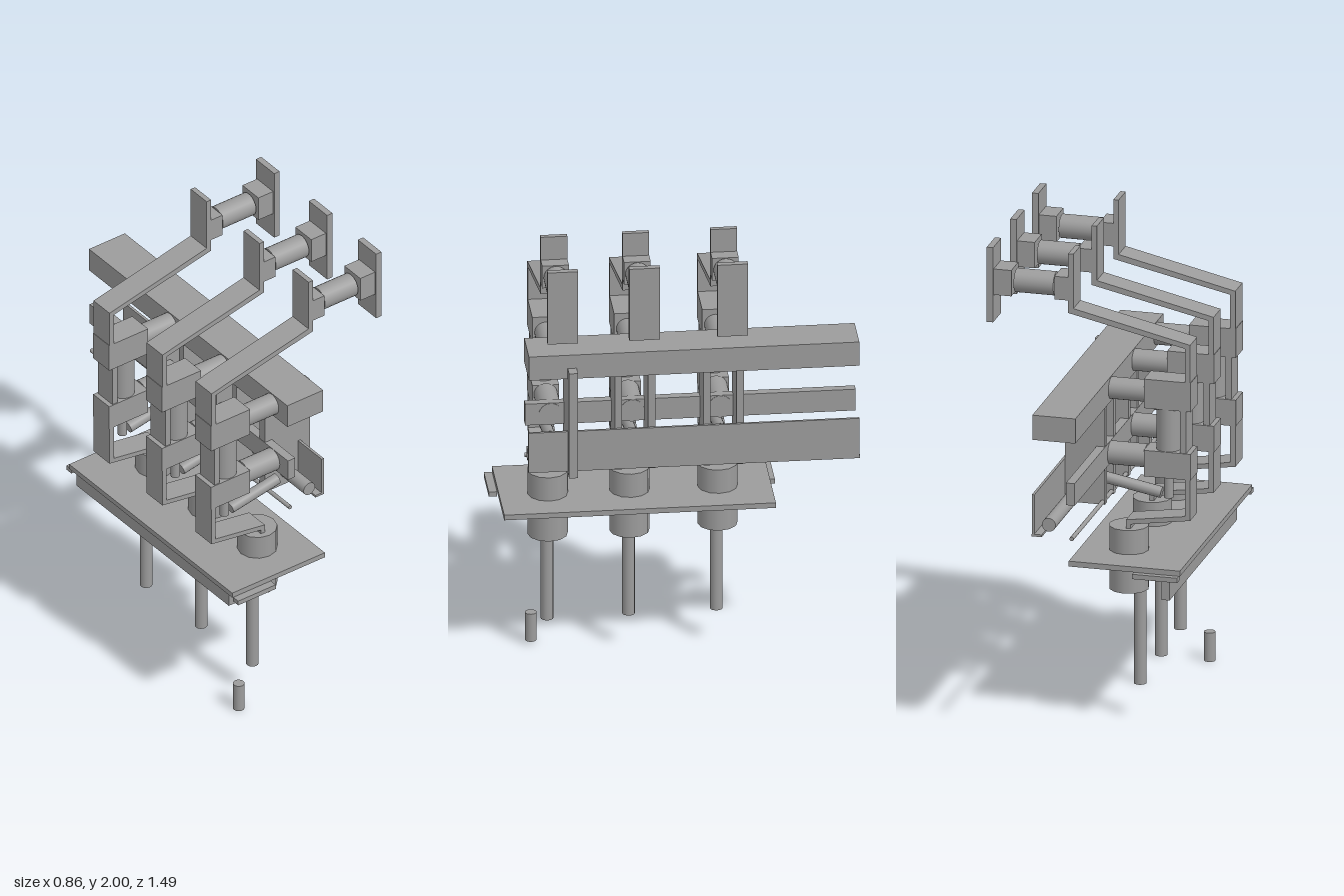
import * as THREE from 'three';

const mat = new THREE.MeshStandardMaterial({ color: 0x9c9c9c });

function add(parent, name, geometry) {
  const mesh = new THREE.Mesh(geometry, mat);
  mesh.name = name;
  parent.add(mesh);
  return mesh;
}

// Box given by its extents on each axis
function box(parent, name, x0, x1, y0, y1, z0, z1) {
  const m = add(parent, name, new THREE.BoxGeometry(x1 - x0, y1 - y0, z1 - z0));
  m.position.set((x0 + x1) / 2, (y0 + y1) / 2, (z0 + z1) / 2);
}

// Cylinder running between two points
function rod(parent, name, a, b, r, sides = 24) {
  const p = new THREE.Vector3(...a), q = new THREE.Vector3(...b);
  const d = q.clone().sub(p);
  const m = add(parent, name, new THREE.CylinderGeometry(r, r, d.length(), sides));
  m.position.copy(p).add(q).multiplyScalar(0.5);
  m.quaternion.setFromUnitVectors(new THREE.Vector3(0, 1, 0), d.normalize());
}

// Bent flat strap: an outline in x/y extruded across z
function strap(parent, name, outline, width) {
  const shape = new THREE.Shape(outline.map(([x, y]) => new THREE.Vector2(x, y)));
  const g = new THREE.ExtrudeGeometry(shape, { depth: width, bevelEnabled: false });
  g.translate(0, 0, -width / 2);
  add(parent, name, g);
}

// One lever with its clamps, piston and stem, centred on its own z = 0
function makeLever(stemX, baseY) {
  const g = new THREE.Group();
  g.name = 'lever';
  const w = 0.055;

  // Handle: bent strap, grip and end plate
  strap(g, 'upperStrap', [
    [0.066, 2], [0.066, 1.764], [-0.43, 1.65], [-0.43, 1.48],
    [-0.408, 1.48], [-0.408, 1.633], [0.088, 1.743], [0.088, 2],
  ], 0.11);
  box(g, 'innerGripBlock', 0.077, 0.147, 1.797, 1.897, -w, w);
  rod(g, 'grip', [0.154, 1.847, 0], [0.322, 1.847, 0], 0.05);
  box(g, 'outerGripBlock', 0.33, 0.407, 1.793, 1.905, -w, w);
  box(g, 'endPlate', 0.405, 0.432, 1.676, 2, -0.063, 0.063);

  // Clamp blocks and the cylinders joining them to the frame
  box(g, 'upperClamp', -0.432, -0.233, 1.36, 1.486, -w, w);
  rod(g, 'upperPivot', [-0.233, 1.417, 0], [-0.075, 1.417, 0], 0.046);
  rod(g, 'verticalCylinder', [-0.324, 1.175, 0], [-0.324, 1.365, 0], 0.051);
  box(g, 'backStrip', -0.412, -0.386, 1.17, 1.37, -0.05, 0.05);
  box(g, 'lowerClamp', -0.432, -0.233, 1.064, 1.177, -w, w);
  rod(g, 'lowerPivot', [-0.233, 1.136, 0], [-0.038, 1.136, 0], 0.049);
  rod(g, 'lowerPin', [-0.324, 0.964, 0], [-0.324, 1.07, 0], 0.02, 16);
  rod(g, 'slantedPin', [-0.295, 0.982, 0], [-0.055, 1.027, 0], 0.024, 16);

  // Lower strap reaching the base cylinder
  strap(g, 'lowerStrap', [
    [-0.43, 1.08], [-0.43, 0.888], [-0.177, 0.85], [-0.177, 0.825],
    [-0.157, 0.825], [-0.157, 0.868], [-0.408, 0.905], [-0.408, 1.08],
  ], 0.108);
  rod(g, 'baseCylinder', [-0.156, baseY, 0], [-0.156, 0.831, 0], 0.083, 12);
  rod(g, 'stem', [stemX, 0.147, 0], [stemX, baseY, 0], 0.026, 16);
  return g;
}

export function createModel() {
  const model = new THREE.Group();
  model.name = 'leverAssembly';

  // Three matching levers
  [[0.515, -0.181, 0.543], [0.178, -0.192, 0.543], [-0.185, -0.203, 0.557]].forEach(([z, stemX, baseY]) => {
    const lever = makeLever(stemX, baseY);
    lever.position.z = z;
    model.add(lever);
  });

  // Frame: long beam, rails and upright ribs
  const frame = new THREE.Group();
  frame.name = 'frame';
  model.add(frame);
  box(frame, 'topBeam', -0.08, 0.103, 1.36, 1.467, -0.742, 0.62);
  box(frame, 'innerRail', -0.077, -0.04, 1.09, 1.186, -0.742, 0.62);
  box(frame, 'outerRail', 0.094, 0.105, 0.943, 1.122, -0.742, 0.622);
  box(frame, 'railLip', 0.062, 0.105, 0.942, 0.952, -0.745, 0.622);
  rod(frame, 'longRod', [0.032, 0.998, -0.745], [0.032, 0.998, 0.62], 0.029);
  rod(frame, 'thinRod', [-0.065, 0.946, -0.745], [-0.065, 0.946, 0.62], 0.009, 12);
  box(frame, 'endRib', -0.075, 0.155, 0.933, 1.407, 0.423, 0.46);
  for (const z of [0.25, 0.113, -0.115, -0.252]) {
    box(frame, 'rib', -0.075, 0.094, 0.935, 1.362, z - 0.015, z + 0.015);
  }

  // Base plate with its stiffening bar and end tabs
  const base = new THREE.Group();
  base.name = 'base';
  model.add(base);
  box(base, 'basePlate', -0.432, 0.041, 0.703, 0.726, -0.405, 0.715);
  box(base, 'stiffeningBar', -0.39, -0.356, 0.597, 0.703, -0.412, 0.635);
  for (const z of [-0.413, 0.732]) {
    box(base, 'endTab', -0.427, -0.235, 0.682, 0.703, z - 0.017, z + 0.017);
  }

  // Loose pin below
  rod(model, 'loosePin', [-0.291, 0, 0.57], [-0.291, 0.125, 0.57], 0.024, 16);
  return model;
}
